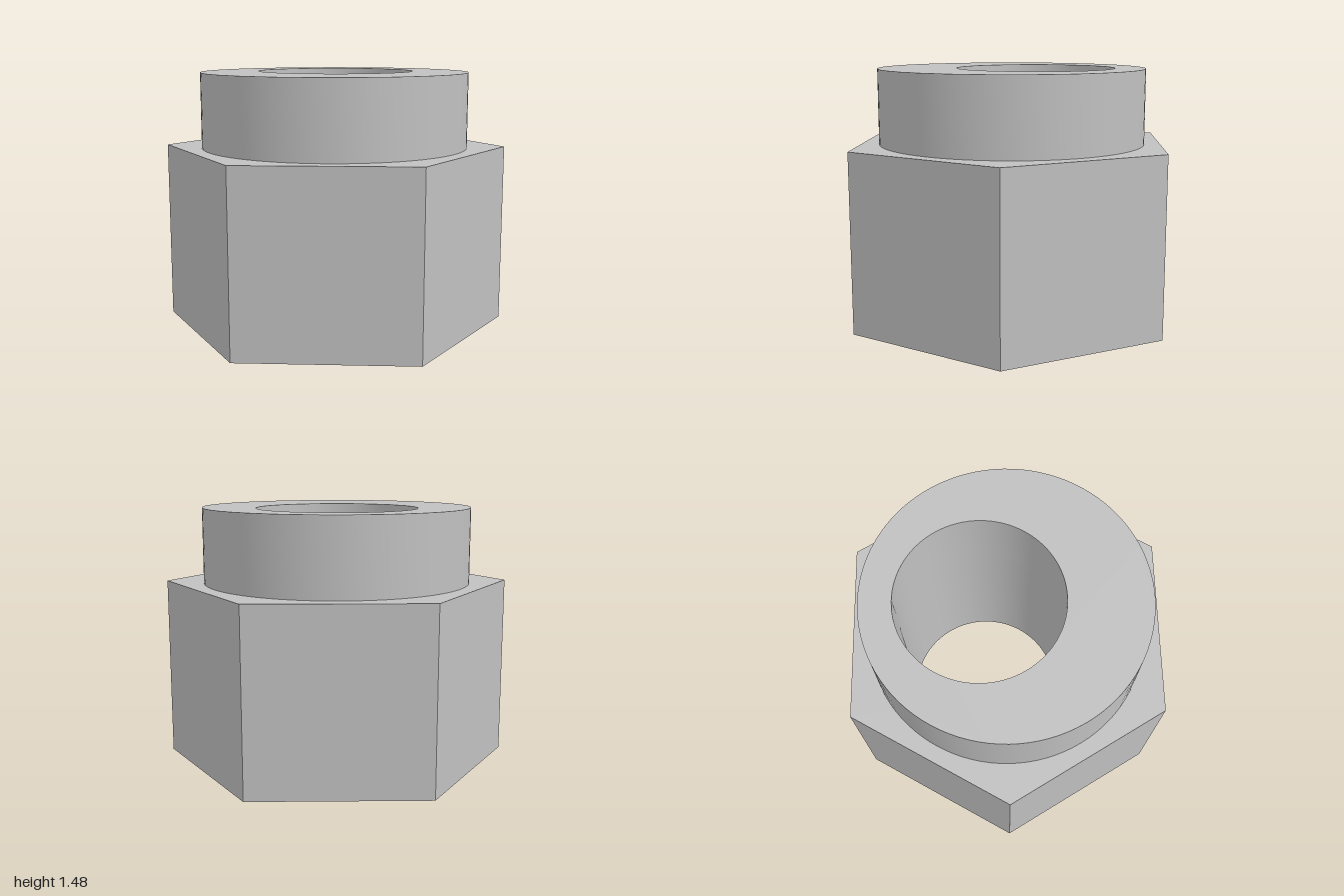
import * as THREE from 'three';
import { toCreasedNormals } from 'three/addons/utils/BufferGeometryUtils.js';

export function createModel() {
  const model = new THREE.Group();
  model.name = 'hexNutWithCollar';

  const steel = new THREE.MeshStandardMaterial({ color: 0xc0c0c0 });
  steel.name = 'plain grey steel';

  const boreRadius = 0.46, boreOffset = 0.14; // bore sits off-centre, towards the back
  const bodyHeight = 1.04, collarHeight = 0.435, collarRadius = 0.778;

  // Extrudes an outline upwards, pierced by the off-centre bore
  function addBored(name, outline, y, height) {
    const bore = new THREE.Path();
    bore.absarc(0, boreOffset, boreRadius, 0, Math.PI * 2, true);
    outline.holes.push(bore);
    const extruded = new THREE.ExtrudeGeometry(outline, {
      depth: height, bevelEnabled: false, curveSegments: 48,
    });
    extruded.rotateX(-Math.PI / 2);
    const mesh = new THREE.Mesh(toCreasedNormals(extruded, Math.PI / 6), steel);
    mesh.name = name;
    mesh.position.y = y;
    model.add(mesh);
  }

  // Hexagonal body with corners on the x axis
  const hexagon = new THREE.Shape();
  for (let i = 0; i < 6; i++) {
    const a = (i * Math.PI) / 3;
    hexagon[i ? 'lineTo' : 'moveTo'](Math.cos(a), Math.sin(a));
  }
  hexagon.closePath();
  addBored('hexBody', hexagon, 0, bodyHeight);

  // Round collar on top
  const circle = new THREE.Shape();
  circle.absarc(0, 0, collarRadius, 0, Math.PI * 2, false);
  addBored('collar', circle, bodyHeight, collarHeight);

  return model;
}
